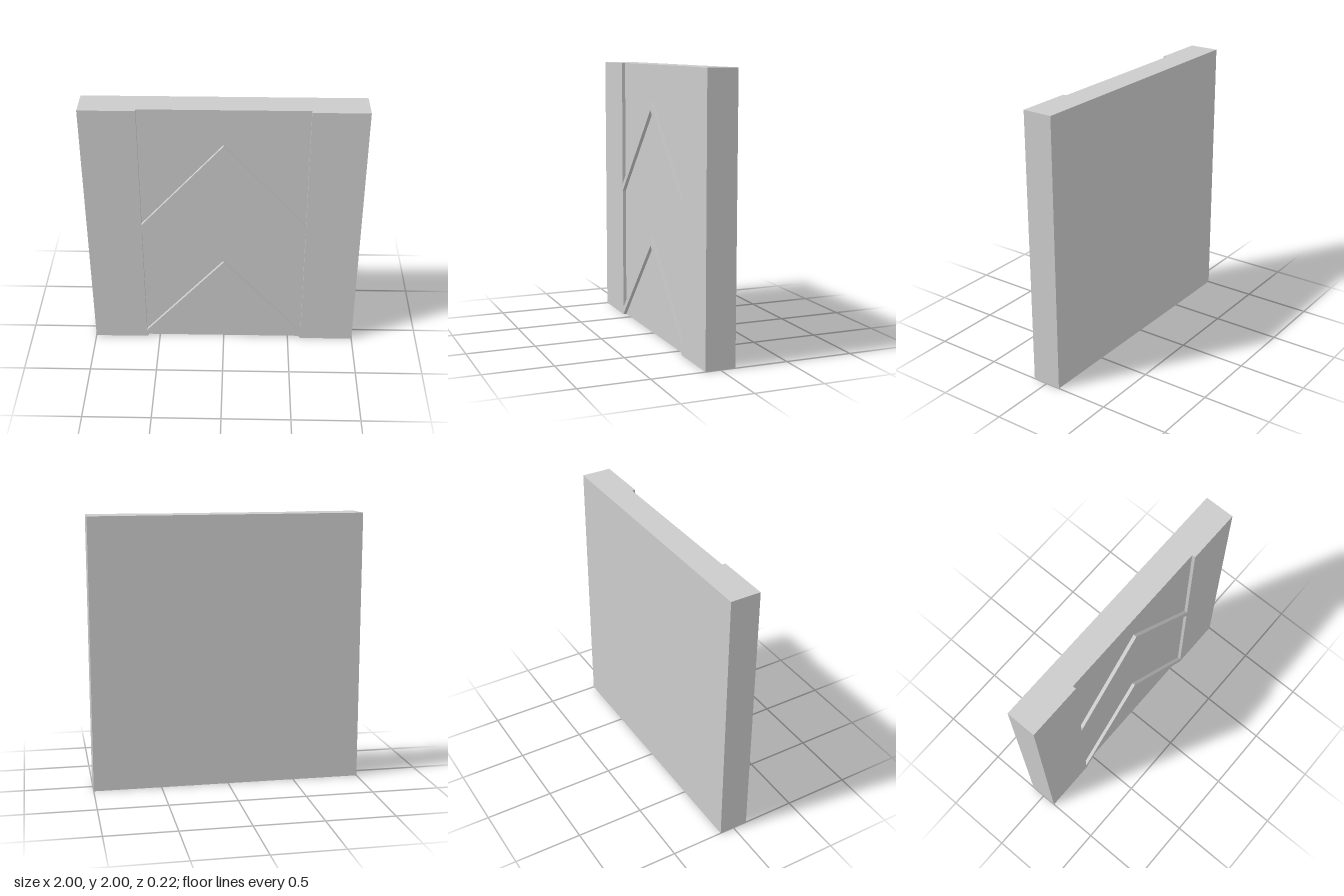
import * as THREE from 'three';

const HALF_DEPTH = 0.11, RECESS = 0.025;
const HALF_PANEL = 0.6; // half width of the recessed channel
const RISE = 0.67, STRIP = 0.06, STEP = 1; // chevron rise, strip height, spacing

const points = list => list.map(([x, y]) => new THREE.Vector2(x, y));

// Three points of a chevron line, left foot to right foot
const chevron = y => [[-HALF_PANEL, y], [0, y + RISE], [HALF_PANEL, y]];

export function createModel() {
  const group = new THREE.Group();
  group.name = 'chevronWallPanel';
  const material = new THREE.MeshStandardMaterial({ color: 0xcccccc, flatShading: true });

  // Solid slab up to the floor of the recesses
  const depth = 2 * HALF_DEPTH - RECESS;
  const slab = new THREE.Mesh(new THREE.BoxGeometry(2, 2, depth), material);
  slab.name = 'backSlab';
  slab.position.set(0, 1, -HALF_DEPTH + depth / 2);
  group.add(slab);

  // Raised side borders joined by two chevron strips; recesses run out at top and bottom
  const relief = new THREE.Shape(points([
    [-1, 0], ...chevron(0), [1, 0], [1, 2],
    [HALF_PANEL, 2], ...chevron(STEP + STRIP).reverse(), [-HALF_PANEL, 2], [-1, 2],
  ]));
  // Closed recess between the two strips
  relief.holes.push(new THREE.Path(points([...chevron(STRIP), ...chevron(STEP).reverse()])));

  const front = new THREE.Mesh(
    new THREE.ExtrudeGeometry(relief, { depth: RECESS, bevelEnabled: false }), material);
  front.name = 'raisedBordersAndChevrons';
  front.position.z = HALF_DEPTH - RECESS;
  group.add(front);

  return group;
}
